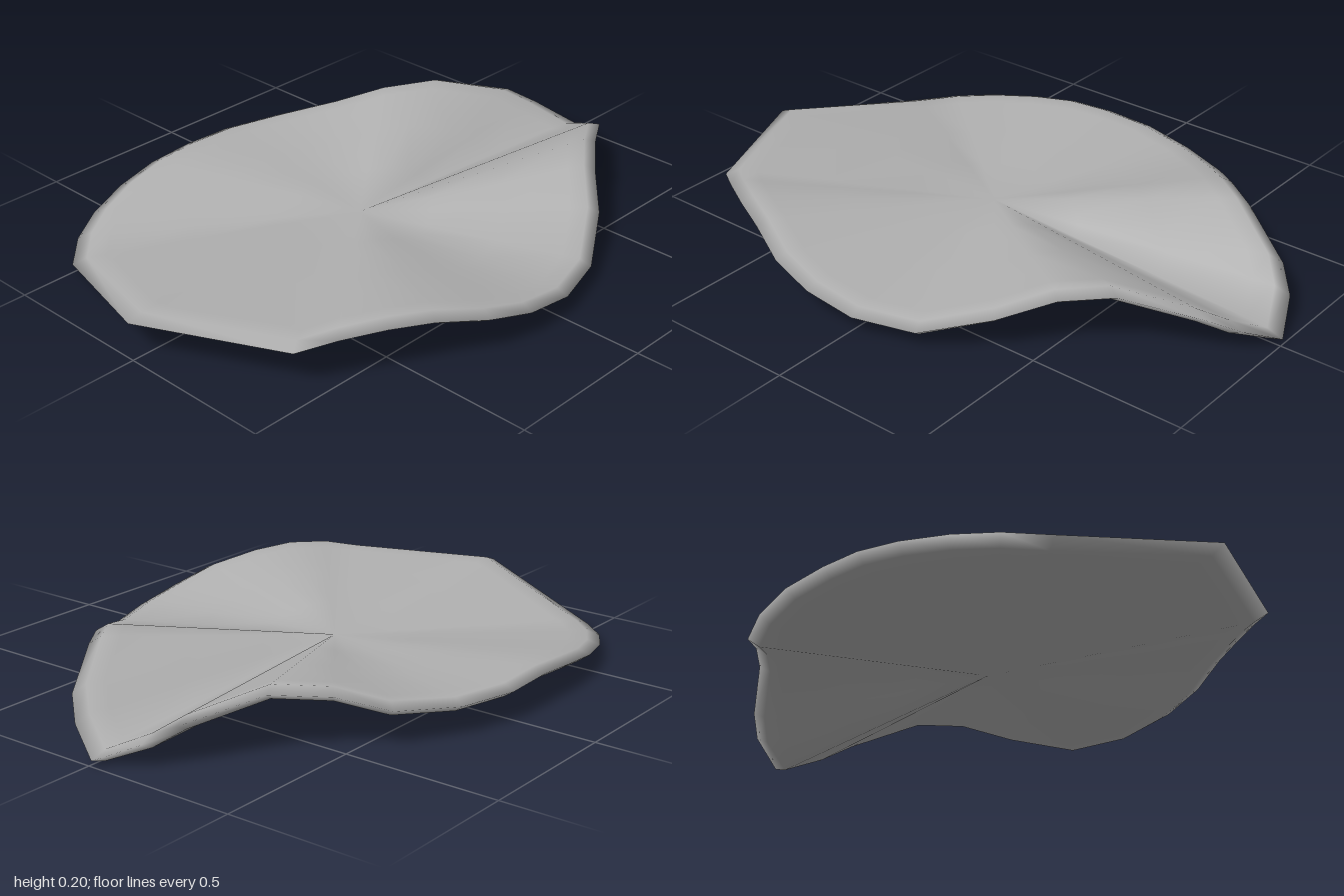
import * as THREE from 'three';

// Rim of the leaf as [x, z, y], running along the back, then home along the front
const RIM = [
  [1, -0.01, 0.02], [0.94, -0.14, 0.08], [0.87, -0.21, 0.13], [0.66, -0.35, 0.19],
  [0.52, -0.47, 0.17], [0.4, -0.59, 0.12], [0.21, -0.69, 0.10], [0.02, -0.74, 0.10],
  [-0.15, -0.74, 0.105], [-0.3, -0.74, 0.095], [-0.45, -0.72, 0.075], [-0.6, -0.67, 0.055],
  [-0.72, -0.6, 0.04], [-0.82, -0.5, 0.03], [-1, -0.01, 0.12], [-0.8, 0.44, 0.13],
  [-0.7, 0.51, 0.155], [-0.58, 0.58, 0.165], [-0.45, 0.64, 0.155], [-0.3, 0.71, 0.125],
  [-0.15, 0.735, 0.09], [0.02, 0.73, 0.065], [0.21, 0.67, 0.06], [0.4, 0.55, 0.12],
  [0.53, 0.43, 0.175], [0.66, 0.33, 0.19], [0.87, 0.19, 0.13], [0.94, 0.11, 0.08],
];
const CENTRE = { x: -0.07, z: -0.02, top: 0.095, bottom: 0.02 };

// One half of the shell: rings shrink from the rim to the centre on a ruled fan
function halfRings(steps, lipT, lipRise, centreY) {
  return steps.map((t) => RIM.map(([x, z, y]) => {
    const lipY = Math.max(0.003, y + lipRise);
    return [
      CENTRE.x + (x - CENTRE.x) * t,
      centreY + (lipY - centreY) * (t / lipT),
      CENTRE.z + (z - CENTRE.z) * t,
    ];
  }));
}

function leafGeometry() {
  const rings = [
    ...halfRings([0.3, 0.6, 0.88, 0.95], 0.95, 0.018, CENTRE.top),
    RIM.map(([x, z, y]) => [x, y, z]),
    ...halfRings([0.95, 0.88, 0.6, 0.3], 0.95, -0.025, CENTRE.bottom),
  ];
  const n = RIM.length;
  const points = rings.flat();
  const topCentre = points.length;
  points.push([CENTRE.x, CENTRE.top, CENTRE.z], [CENTRE.x, CENTRE.bottom, CENTRE.z]);

  const index = [];
  const last = (rings.length - 1) * n;
  for (let i = 0; i < n; i++) {
    const j = (i + 1) % n;
    index.push(topCentre, i, j);
    for (let r = 0; r < last; r += n) {
      index.push(r + i, r + n + i, r + n + j, r + i, r + n + j, r + j);
    }
    index.push(topCentre + 1, last + j, last + i);
  }

  const geometry = new THREE.BufferGeometry();
  geometry.setAttribute('position', new THREE.Float32BufferAttribute(points.flat(), 3));
  geometry.setIndex(index);
  geometry.computeVertexNormals();
  return geometry;
}

export function createModel() {
  const model = new THREE.Group();
  model.name = 'leaf';
  const grey = new THREE.MeshStandardMaterial({ color: 0xb0b0b0, side: THREE.DoubleSide });
  grey.name = 'grey';

  // The rim runs clockwise in plan, so flip the corners to face outwards
  const geometry = leafGeometry();
  const a = geometry.index.array;
  const p = geometry.attributes.position;
  const corner = (k) => new THREE.Vector3().fromBufferAttribute(p, a[k]);
  const up = corner(1).sub(corner(0)).cross(corner(2).sub(corner(0))).y;
  if (up < 0) {
    for (let k = 0; k < a.length; k += 3) [a[k + 1], a[k + 2]] = [a[k + 2], a[k + 1]];
    geometry.computeVertexNormals();
  }

  const blade = new THREE.Mesh(geometry, grey);
  blade.name = 'leafBlade';
  model.add(blade);
  return model;
}
